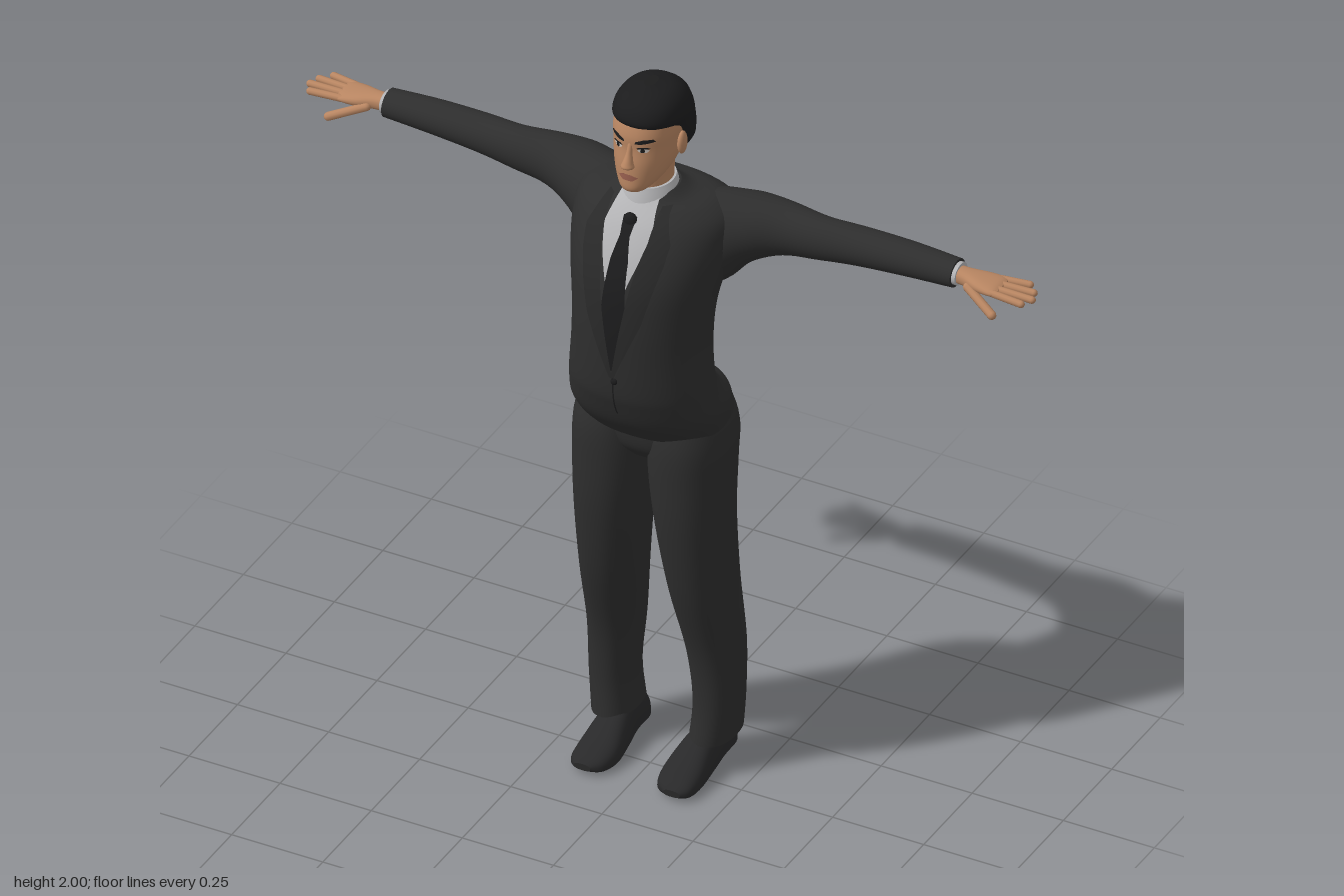
import * as THREE from 'three';

const mat = (name, color, side = THREE.FrontSide) => {
  const m = new THREE.MeshStandardMaterial({ color, side });
  m.name = name;
  return m;
};
const M = {
  suit: mat('suit charcoal', 0x2e2e2e),
  lapel: mat('lapel charcoal', 0x292929, THREE.DoubleSide),
  black: mat('tie and hair black', 0x1c1c1d, THREE.DoubleSide),
  shoe: mat('shoe leather', 0x29292a),
  shirt: mat('shirt grey', 0xb4b4b6, THREE.DoubleSide),
  skin: mat('skin', 0xb98662),
  lips: mat('lips', 0x99604f, THREE.DoubleSide),
  eye: mat('eye white', 0xc9c0b8, THREE.DoubleSide),
};

// Row: [position along axis, uMin, uMax, vMin, vMax, vMid, tilt]
const fill = r => [r[0], r[1], r[2], r[3], r[4], r[5] ?? (r[3] + r[4]) / 2, r[6] ?? 0];

// Smoothly interpolates cross-section rows
function dense(rows, steps = 5) {
  const R = rows.map(fill), out = [];
  for (let i = 0; i < R.length - 1; i++) {
    const a = R[Math.max(i - 1, 0)], b = R[i], c = R[i + 1], d = R[Math.min(i + 2, R.length - 1)];
    for (let s = 0; s < steps; s++) {
      const t = s / steps;
      out.push(b.map((_, k) => 0.5 * (2 * b[k] + (c[k] - a[k]) * t +
        (2 * a[k] - 5 * b[k] + 4 * c[k] - d[k]) * t * t + (3 * b[k] - a[k] - 3 * c[k] + d[k]) * t * t * t)));
    }
  }
  out.push(R[R.length - 1]);
  return out;
}

// Capped loft of rounded cross-sections along an axis
function loft(axis, rows, n = 2, seg = 40) {
  const D = dense(rows), pos = [], idx = [];
  const put = (t, u, v) => pos.push(...(axis === 'y' ? [u, t, v] : axis === 'x' ? [t, u, v] : [u, v, t]));
  const tri = (a, b, c) => (axis === 'y' ? idx.push(a, b, c) : idx.push(a, c, b));
  const pow = x => Math.sign(x) * Math.abs(x) ** (2 / n);
  const ring = ([t, u0, u1, v0, v1, vm, tilt]) => {
    for (let j = 0; j < seg; j++) {
      const a = j / seg * Math.PI * 2, c = pow(Math.cos(a)), s = pow(Math.sin(a));
      put(t - tilt * s, (u0 + u1) / 2 + (u1 - u0) / 2 * c, vm + (s > 0 ? v1 - vm : vm - v0) * s);
    }
  };
  D.forEach(ring);
  for (let i = 0; i < D.length - 1; i++) {
    for (let j = 0; j < seg; j++) {
      const a = i * seg + j, b = i * seg + (j + 1) % seg;
      tri(a, a + seg, b);
      tri(b, a + seg, b + seg);
    }
  }
  for (const [row, top] of [[D[0], false], [D[D.length - 1], true]]) {
    const base = pos.length / 3;
    ring(row);
    put(row[0], (row[1] + row[2]) / 2, row[5]);
    for (let j = 0; j < seg; j++) {
      const a = base + j, b = base + (j + 1) % seg;
      top ? tri(a, base + seg, b) : tri(a, b, base + seg);
    }
  }
  const g = new THREE.BufferGeometry();
  g.setAttribute('position', new THREE.Float32BufferAttribute(pos, 3));
  g.setIndex(idx);
  g.computeVertexNormals();
  return g;
}

// Front surface height of a vertical loft, used to lay details on it
function frontOf(rows, n) {
  const D = dense(rows);
  return (x, y) => {
    let i = 0;
    while (i < D.length - 2 && D[i + 1][0] < y) i++;
    const a = D[i], b = D[i + 1], t = THREE.MathUtils.clamp((y - a[0]) / (b[0] - a[0]), 0, 1);
    const r = a.map((v, k) => v + (b[k] - v) * t);
    const f = Math.min(Math.abs(x / r[2]), 1);
    return r[5] + (r[4] - r[5]) * (1 - f ** n) ** (1 / n);
  };
}

// Thin panel hugging a front surface; rows are [y, xLeft, xRight], top to bottom
function panel(front, rows, lift, cols = 8, steps = 6) {
  const g = new THREE.PlaneGeometry(1, 1, cols, (rows.length - 1) * steps);
  const p = g.attributes.position;
  for (let k = 0; k < p.count; k++) {
    const line = Math.floor(k / (cols + 1)), c = (k % (cols + 1)) / cols;
    const i = Math.min(Math.floor(line / steps), rows.length - 2), t = line / steps - i;
    const [y, l, r] = rows[i].map((v, q) => v + (rows[i + 1][q] - v) * t);
    const x = l + (r - l) * c;
    p.setXYZ(k, x, y, front(x, y) + lift);
  }
  g.computeVertexNormals();
  return g;
}

function mirrored(g) {
  const m = g.clone().scale(-1, 1, 1), a = m.index.array;
  for (let i = 0; i < a.length; i += 3) [a[i], a[i + 1]] = [a[i + 1], a[i]];
  return m;
}

// Tapered finger between two points
function finger(p, q, r) {
  const a = new THREE.Vector3(...p), b = new THREE.Vector3(...q), d = b.clone().sub(a);
  const g = new THREE.CapsuleGeometry(r, d.length() - r, 5, 10);
  g.applyQuaternion(new THREE.Quaternion().setFromUnitVectors(new THREE.Vector3(0, 1, 0), d.normalize()));
  return g.translate(...a.add(b).multiplyScalar(0.5).toArray());
}

const ball = (x, y, z, a, b, c) => new THREE.SphereGeometry(1, 20, 14).scale(a, b, c).translate(x, y, z);
const sym = rows => rows.map(([y, h, ...rest]) => [y, -h, h, ...rest]);

const JACKET = sym([
  [1.05, 0.2, -0.165, 0.1, -0.02, 0.03], [1.1, 0.2, -0.155, 0.15, 0, 0.018], [1.15, 0.19, -0.105, 0.178, 0.02],
  [1.2, 0.183, -0.075, 0.19, 0.03], [1.3, 0.175, -0.09, 0.195, 0.03], [1.4, 0.178, -0.115, 0.193, 0.02],
  [1.5, 0.195, -0.155, 0.18, -0.01], [1.58, 0.21, -0.175, 0.15, -0.05], [1.64, 0.205, -0.172, 0.115, -0.07],
  [1.675, 0.16, -0.14, 0.085, -0.05], [1.69, 0.1, -0.1, 0.07, -0.02], [1.708, 0.07, -0.078, 0.05, -0.01]]);
const HEAD = sym([
  [1.735, 0.022, 0.04, 0.1], [1.75, 0.042, 0, 0.117, 0.05], [1.78, 0.063, -0.05, 0.117, 0.02],
  [1.82, 0.076, -0.09, 0.114, 0], [1.86, 0.08, -0.105, 0.107, 0], [1.9, 0.082, -0.11, 0.105, 0],
  [1.95, 0.072, -0.1, 0.085, 0], [1.985, 0.04, -0.05, 0.05, 0]]);
const HAIR = sym([
  [1.775, 0.05, -0.08, -0.03], [1.82, 0.08, -0.112, -0.02], [1.86, 0.088, -0.122, 0.01],
  [1.9, 0.09, -0.125, 0.055], [1.925, 0.09, -0.124, 0.1], [1.96, 0.08, -0.105, 0.092],
  [1.985, 0.055, -0.07, 0.06], [1.998, 0.015, -0.03, 0.02]]);

export function createModel() {
  const root = new THREE.Group();
  root.name = 'suitedMan';
  const add = (name, g, m) => {
    const mesh = new THREE.Mesh(g, m);
    mesh.name = name;
    root.add(mesh);
  };
  const pair = (name, g, m) => {
    add('left' + name, g, m);
    add('right' + name, mirrored(g), m);
  };
  const chest = frontOf(JACKET, 2.2), face = frontOf(HEAD, 2.2);

  // Jacket and trousers
  add('jacket', loft('y', JACKET, 2.2, 56), M.suit);
  pair('Sleeve', loft('x', [
    [0.12, 1.42, 1.68, -0.17, 0.04], [0.18, 1.44, 1.68, -0.184, 0.02], [0.24, 1.5, 1.677, -0.187, -0.01],
    [0.32, 1.535, 1.671, -0.175, -0.045], [0.42, 1.552, 1.665, -0.158, -0.056], [0.52, 1.563, 1.661, -0.165, -0.065],
    [0.65, 1.572, 1.658, -0.165, -0.072], [0.78, 1.58, 1.652, -0.157, -0.077]]), M.suit);
  pair('TrouserLeg', loft('y', [
    [0.09, 0.078, 0.19, -0.178, 0], [0.2, 0.085, 0.2, -0.17, -0.008], [0.35, 0.07, 0.202, -0.174, 0.005],
    [0.55, 0.045, 0.2, -0.155, 0.06], [0.75, 0.02, 0.202, -0.142, 0.092], [0.9, 0.003, 0.205, -0.152, 0.1],
    [1, 0, 0.204, -0.163, 0.098], [1.08, 0, 0.185, -0.145, 0.08]], 2.2), M.suit);
  add('trouserSeat', loft('y', sym([
    [0.93, 0.08, -0.1, 0.05], [0.97, 0.15, -0.135, 0.08], [1.03, 0.18, -0.15, 0.09], [1.1, 0.18, -0.13, 0.09]]), 2.2), M.suit);

  // Shirt, tie, lapels and button
  add('shirtFront', panel(chest, [[1.705, -0.05, 0.05], [1.64, -0.066, 0.066], [1.58, -0.052, 0.052], [1.5, -0.026, 0.026]], 0.004), M.shirt);
  add('shirtCollar', loft('y', sym([[1.66, 0.082, -0.08, 0.086], [1.7, 0.07, -0.078, 0.072], [1.725, 0.059, -0.075, 0.062]])), M.shirt);
  add('tie', panel(chest, [[1.665, -0.018, 0.018], [1.625, -0.013, 0.013], [1.57, -0.024, 0.024], [1.45, -0.032, 0.032], [1.27, -0.004, 0.004]], 0.007), M.black);
  add('tieKnot', ball(0, 1.65, 0.102, 0.02, 0.024, 0.014), M.black);
  pair('Lapel', panel(chest, [[1.69, 0.066, 0.085], [1.62, 0.062, 0.115], [1.57, 0.05, 0.11], [1.42, 0.026, 0.075], [1.25, -0.002, 0.006]], 0.009), M.lapel);
  add('button', ball(0.003, 1.235, 0.194, 0.009, 0.009, 0.005), M.black);
  add('jacketOpening', panel(chest, [[1.25, -0.002, 0.002], [1.12, -0.002, 0.002]], 0.003, 1), M.black);

  // Head
  add('neck', loft('y', sym([[1.66, 0.056, -0.07, 0.055], [1.72, 0.053, -0.07, 0.056], [1.79, 0.055, -0.075, 0.06]])), M.skin);
  add('head', loft('y', HEAD, 2.2), M.skin);
  add('hair', loft('y', HAIR, 2.2), M.black);
  add('nose', loft('y', sym([
    [1.812, 0.012, 0.1, 0.118], [1.82, 0.017, 0.1, 0.134], [1.832, 0.013, 0.1, 0.131],
    [1.855, 0.008, 0.095, 0.118], [1.88, 0.007, 0.09, 0.108]]), 2, 20), M.skin);
  pair('Ear', ball(0.085, 1.845, -0.005, 0.011, 0.032, 0.018), M.skin);
  pair('Eye', panel(face, [[1.871, 0.027, 0.04], [1.866, 0.02, 0.048], [1.86, 0.028, 0.042]], 0.002, 4, 3), M.eye);
  pair('Iris', panel(face, [[1.871, 0.03, 0.037], [1.866, 0.028, 0.039], [1.861, 0.03, 0.037]], 0.004, 3, 2), M.black);
  pair('EyeLine', panel(face, [[1.876, 0.024, 0.044], [1.871, 0.018, 0.051]], 0.004, 4, 2), M.black);
  pair('Eyebrow', panel(face, [[1.897, 0.035, 0.054], [1.89, 0.016, 0.06], [1.884, 0.014, 0.028]], 0.003, 6, 3), M.black);
  add('mouth', panel(face, [[1.797, -0.01, 0.01], [1.79, -0.027, 0.027], [1.78, -0.013, 0.013]], 0.003, 8, 3), M.lips);

  // Cuffs and hands
  pair('Cuff', loft('x', [[0.76, 1.588, 1.645, -0.15, -0.084], [0.79, 1.588, 1.645, -0.15, -0.084]]), M.shirt);
  pair('Palm', loft('x', [
    [0.77, 1.595, 1.638, -0.138, -0.092], [0.81, 1.596, 1.636, -0.14, -0.088], [0.85, 1.597, 1.632, -0.152, -0.076],
    [0.89, 1.602, 1.626, -0.157, -0.071], [0.905, 1.607, 1.62, -0.15, -0.077]], 2.4, 24), M.skin);
  [[-0.147, -0.164, 0.965], [-0.126, -0.136, 0.99], [-0.104, -0.107, 1], [-0.083, -0.078, 0.985]].forEach(([z0, z1, x], i) =>
    pair('Finger' + (i + 1), finger([0.88, 1.614, z0], [x - 0.005, 1.61, z1], 0.0095), M.skin));
  pair('Thumb', finger([0.82, 1.61, -0.088], [0.915, 1.572, -0.048], 0.0115), M.skin);

  // Shoes
  pair('Shoe', loft('z', [
    [-0.172, 0.095, 0.145, 0.012, 0.06, 0.025], [-0.155, 0.082, 0.155, 0.006, 0.09, 0.025], [-0.09, 0.08, 0.158, 0.008, 0.115, 0.025],
    [-0.02, 0.068, 0.165, 0.004, 0.1, 0.022], [0.05, 0.06, 0.17, 0, 0.066, 0.018], [0.1, 0.072, 0.165, 0.003, 0.046, 0.018],
    [0.122, 0.1, 0.145, 0.012, 0.03, 0.02]], 2.6), M.shoe);
  return root;
}
